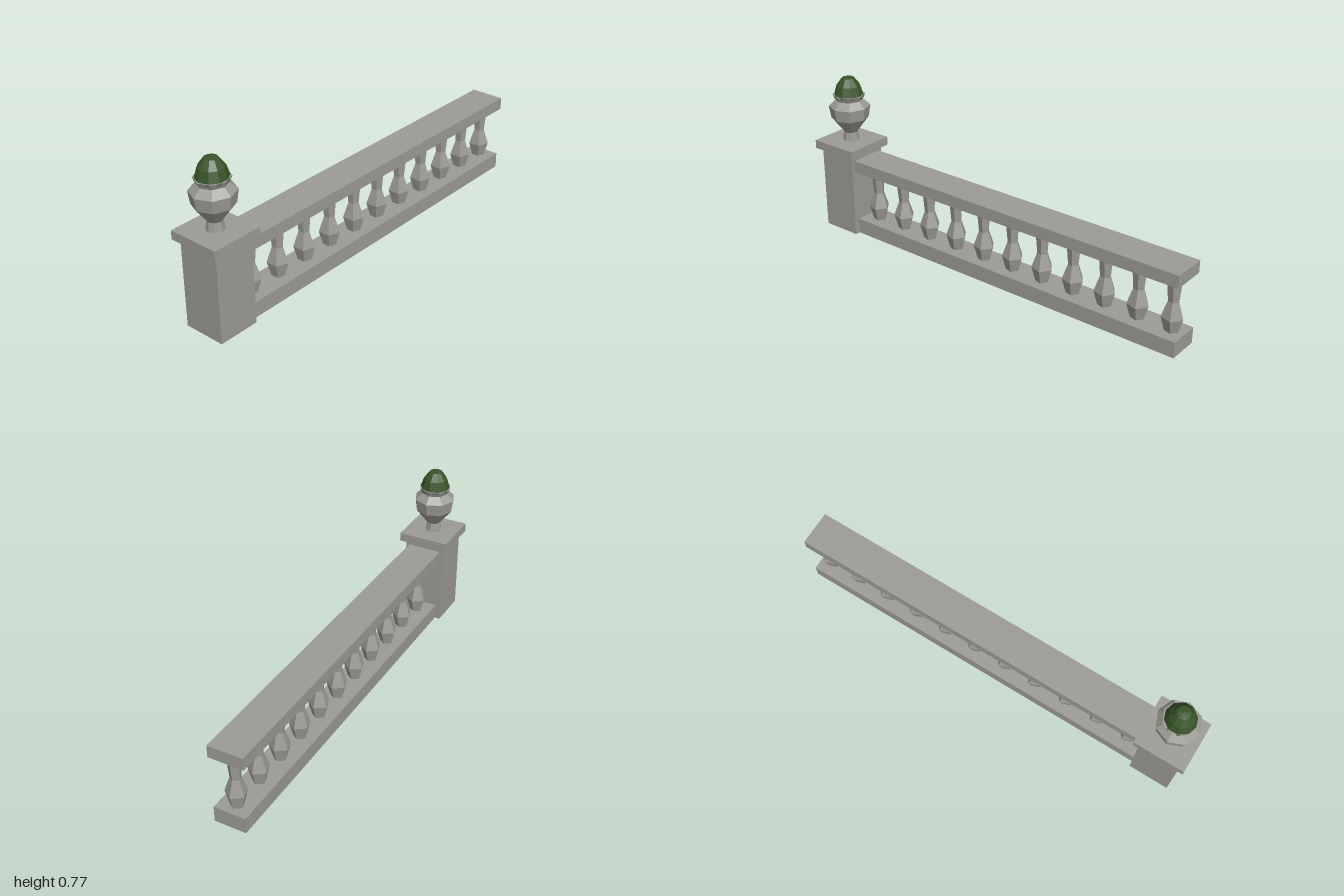
import * as THREE from 'three';

const stone = new THREE.MeshStandardMaterial({ color: 0x9c9a94 });
stone.name = 'stone';
const leaf = new THREE.MeshStandardMaterial({ color: 0x38552a });
leaf.name = 'foliage green';

// Box given by its min and max x and y, and its half depth
function block(name, x0, x1, y0, y1, halfDepth) {
  const mesh = new THREE.Mesh(new THREE.BoxGeometry(x1 - x0, y1 - y0, halfDepth * 2), stone);
  mesh.name = name;
  mesh.position.set((x0 + x1) / 2, (y0 + y1) / 2, 0);
  return mesh;
}

// Faceted turned shape with one corner pointing to +x
function turned(profile, sides) {
  const points = profile.map(([r, y]) => new THREE.Vector2(r, y));
  const geometry = new THREE.LatheGeometry(points, sides, Math.PI / 2).toNonIndexed();
  geometry.computeVertexNormals();
  return geometry;
}

export function createModel() {
  const model = new THREE.Group();
  model.name = 'balustrade';

  // Post and its cap
  model.add(block('post', -0.976, -0.78, 0, 0.412, 0.1));
  model.add(block('postCap', -1, -0.756, 0.412, 0.453, 0.123));

  // Rails
  model.add(block('bottomRail', -0.78, 1, 0, 0.075, 0.075));
  model.add(block('topRail', -0.78, 1, 0.33, 0.388, 0.083));

  // Row of five-sided balusters
  const balusterGeometry = turned([
    [0.0315, 0.075], [0.0495, 0.141], [0.0245, 0.215], [0.0345, 0.33],
  ], 5);
  const balusters = new THREE.Group();
  balusters.name = 'balusters';
  for (let i = 0; i < 11; i++) {
    const baluster = new THREE.Mesh(balusterGeometry, stone);
    baluster.name = 'baluster';
    baluster.position.x = -0.706 + i * 0.1647;
    balusters.add(baluster);
  }
  model.add(balusters);

  // Eight-sided urn on the cap
  const urn = new THREE.Mesh(turned([
    [0.04, 0.453], [0.033, 0.495], [0.09, 0.568], [0.099, 0.627],
    [0.066, 0.659], [0.078, 0.685], [0, 0.685],
  ], 8), stone);
  urn.name = 'urn';
  urn.position.x = -0.878;
  model.add(urn);

  // Clipped bush in the urn
  const bush = new THREE.Mesh(turned([
    [0, 0.676], [0.073, 0.676], [0.057, 0.73], [0.03, 0.766], [0, 0.77],
  ], 10), leaf);
  bush.name = 'bush';
  bush.position.x = -0.878;
  model.add(bush);

  return model;
}
